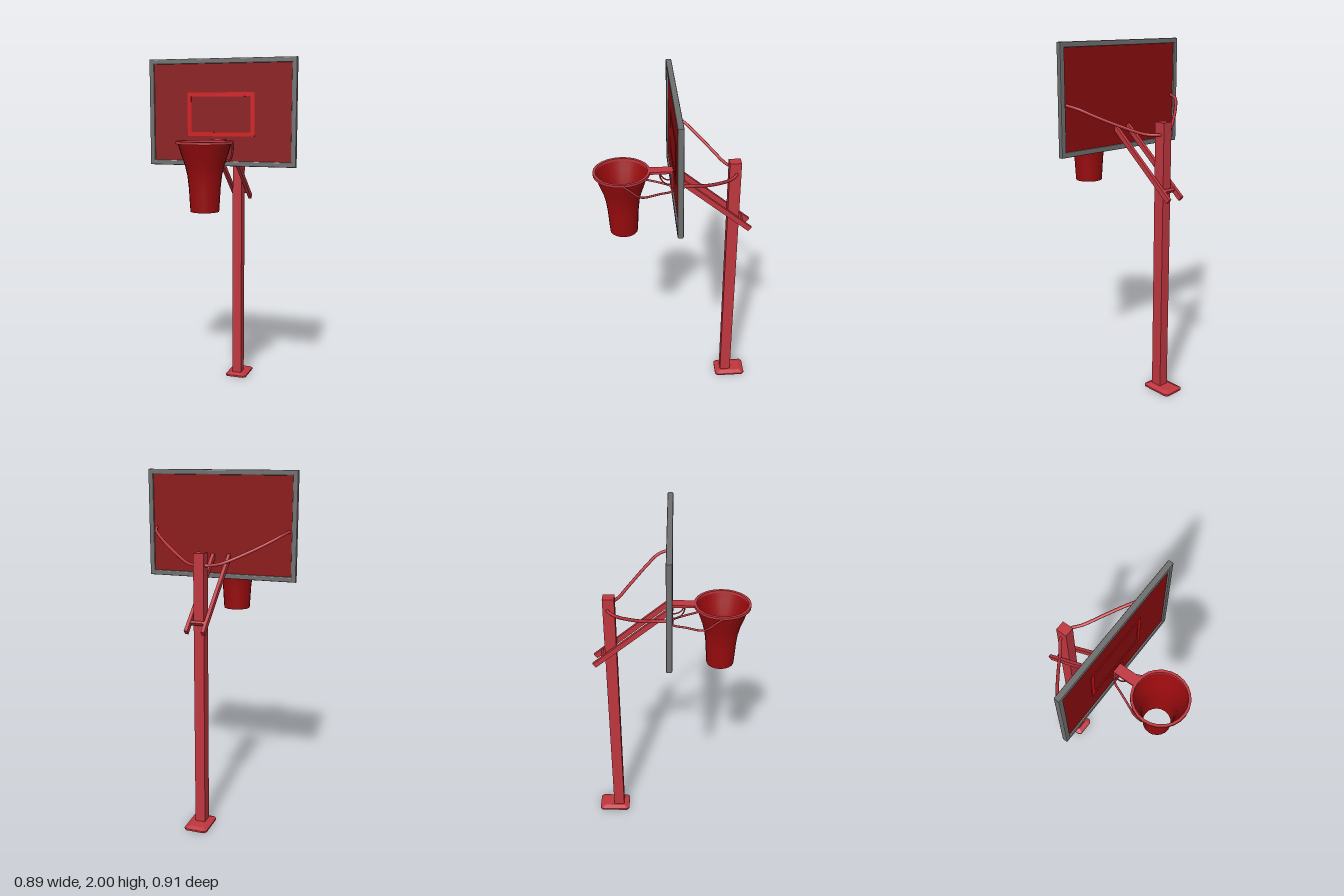
import * as THREE from 'three';

const V = (x, y, z) => new THREE.Vector3(x, y, z);
const mat = (name, color, side = THREE.FrontSide) => {
  const m = new THREE.MeshStandardMaterial({ color, side });
  m.name = name;
  return m;
};

export function createModel() {
  const model = new THREE.Group();
  model.name = 'basketballHoop';
  const steel = mat('paintedSteelRed', 0xc0363f, THREE.DoubleSide);
  const boardRed = mat('boardDarkRed', 0x8a0c0f);
  const netRed = mat('netRed', 0x990b0e, THREE.DoubleSide);
  const brightRed = mat('targetRed', 0xd00e12);
  const grey = mat('frameGrey', 0x6e6e6e);

  const add = (name, geo, material, x = 0, y = 0, z = 0, parent = model) => {
    const mesh = new THREE.Mesh(geo, material);
    mesh.name = name;
    mesh.position.set(x, y, z);
    parent.add(mesh);
    return mesh;
  };
  const tube = (name, points, radius, segments = 24) =>
    add(name, new THREE.TubeGeometry(new THREE.CatmullRomCurve3(points), segments, radius, 8), steel);
  const rect = (Type, w, h) => {
    const s = new Type();
    s.moveTo(-w / 2, -h / 2);
    s.lineTo(w / 2, -h / 2);
    s.lineTo(w / 2, h / 2);
    s.lineTo(-w / 2, h / 2);
    s.closePath();
    return s;
  };
  const frameShape = (w, h, band) => {
    const s = rect(THREE.Shape, w, h);
    s.holes.push(rect(THREE.Path, w - 2 * band, h - 2 * band));
    return s;
  };

  // Hollow foot plate: chamfered outline, short wall, sloped shoulder and flat top
  const outline = (w, d, c, y) => [
    [w - c, d], [w, d - c], [w, c - d], [w - c, -d],
    [c - w, -d], [-w, c - d], [-w, d - c], [c - w, d],
  ].map(([x, z]) => [x, y, z]);
  const rings = [outline(0.067, 0.095, 0.015, 0), outline(0.067, 0.095, 0.015, 0.01), outline(0.042, 0.07, 0.008, 0.021)];
  const tris = [];
  for (let r = 0; r < 2; r++) {
    for (let i = 0; i < 8; i++) {
      const j = (i + 1) % 8, a = rings[r], b = rings[r + 1];
      tris.push(a[i], a[j], b[j], a[i], b[j], b[i]);
    }
  }
  for (let i = 1; i < 7; i++) tris.push(rings[2][0], rings[2][i], rings[2][i + 1]);
  const footGeo = new THREE.BufferGeometry();
  footGeo.setAttribute('position', new THREE.Float32BufferAttribute(tris.flat(), 3));
  footGeo.computeVertexNormals();
  add('footPlate', footGeo, steel, 0, 0, -0.36);

  // Pole
  add('pole', new THREE.BoxGeometry(0.058, 1.574, 0.066), steel, 0, 0.792, -0.332);

  // Backboard: panel, bevelled frame, painted target
  const board = new THREE.Group();
  board.name = 'backboard';
  board.position.set(0, 1.695, 0.004);
  model.add(board);
  add('boardPanel', new THREE.BoxGeometry(0.85, 0.58, 0.012), boardRed, 0, 0, 0, board);
  const frameGeo = new THREE.ExtrudeGeometry(frameShape(0.876, 0.602, 0.019), {
    depth: 0.02, bevelThickness: 0.006, bevelSize: 0.005, bevelSegments: 2,
  });
  add('boardFrame', frameGeo, grey, 0, 0, -0.01, board);
  const targetGeo = new THREE.ExtrudeGeometry(frameShape(0.405, 0.25, 0.023), { depth: 0.003, bevelEnabled: false });
  add('targetRectangle', targetGeo, brightRed, -0.004, -0.01, 0.006, board);

  // Sloping support arms and the crossbar behind the pole
  const slope = -Math.atan2(0.355, 0.425);
  for (const s of [-1, 1]) {
    add('supportArm', new THREE.BoxGeometry(0.019, 0.03, 0.56), steel, s * 0.048, 1.341, -0.214).rotation.x = slope;
  }
  add('armCrossbar', new THREE.BoxGeometry(0.08, 0.022, 0.016), steel, 0, 1.204, -0.378).rotation.x = slope;

  // Curved braces from the pole to the board edges
  for (const s of [-1, 1]) {
    tube('curvedBrace', [
      V(s * 0.4, 1.67, 0), V(s * 0.375, 1.655, -0.065), V(s * 0.305, 1.613, -0.135),
      V(s * 0.2, 1.56, -0.217), V(s * 0.1, 1.518, -0.288), V(s * 0.045, 1.512, -0.332), V(s * 0.02, 1.512, -0.34),
    ], 0.009, 32);
  }

  // Rim
  const rimProfile = [[0.143, 1.53], [0.158, 1.53], [0.158, 1.545], [0.143, 1.545], [0.143, 1.53]]
    .map(([x, y]) => new THREE.Vector2(x, y));
  const rimGeo = new THREE.LatheGeometry(rimProfile, 24).toNonIndexed();
  rimGeo.computeVertexNormals();
  add('rim', rimGeo, steel, 0, 0, 0.294);

  // Net
  const netProfile = [[0.079, 1.16], [0.083, 1.22], [0.087, 1.29], [0.095, 1.36], [0.108, 1.415], [0.127, 1.47], [0.147, 1.535]]
    .map(([x, y]) => new THREE.Vector2(x, y));
  add('net', new THREE.LatheGeometry(netProfile, 20), netRed, 0, 0, 0.294);

  // Rim bracket: top plate, board plate and small bent side rods
  add('bracketTopPlate', new THREE.BoxGeometry(0.06, 0.014, 0.138), steel, 0, 1.538, 0.081);
  add('bracketBackPlate', new THREE.BoxGeometry(0.06, 0.1, 0.01), steel, 0, 1.49, 0.018);
  for (const s of [-1, 1]) {
    tube('bracketRod', [
      V(s * 0.024, 1.535, 0.088), V(s * 0.024, 1.5, 0.08), V(s * 0.024, 1.47, 0.055), V(s * 0.024, 1.46, 0.015),
    ], 0.004, 12);
  }

  // Bent rod carrying the rim, looped around below the bracket
  const half = [[0.157, 1.535, 0.287], [0.146, 1.5, 0.25], [0.126, 1.455, 0.212], [0.105, 1.433, 0.178], [0.065, 1.427, 0.09], [0.032, 1.42, 0.024]];
  tube('rimSupportRod', [
    ...half.map(([x, y, z]) => V(x, y, z)),
    V(0, 1.417, 0.018),
    ...half.slice().reverse().map(([x, y, z]) => V(-x, y, z)),
  ], 0.006, 56);

  return model;
}
